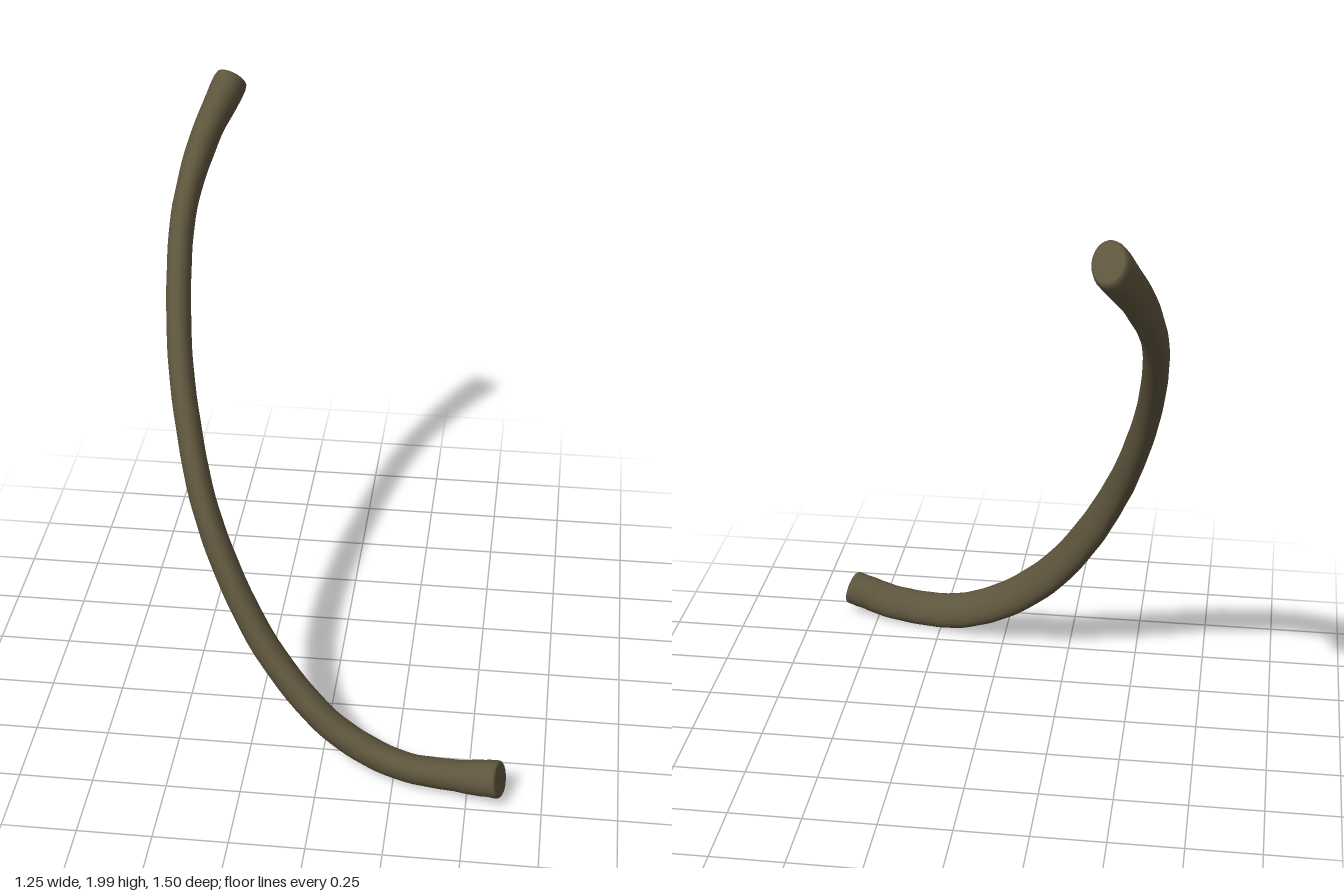
import * as THREE from 'three';

// Centre line with the section's half sizes: x, y, z, thickness, breadth
const STATIONS = [
  [0.61, 0.103, 0.70, 0.063, 0.064],
  [0.55, 0.09, 0.685, 0.060, 0.064],
  [0.45, 0.072, 0.66, 0.052, 0.065],
  [0.30, 0.065, 0.63, 0.049, 0.066],
  [0.15, 0.095, 0.587, 0.050, 0.069],
  [0.0, 0.175, 0.535, 0.049, 0.072],
  [-0.19, 0.355, 0.435, 0.048, 0.074],
  [-0.345, 0.60, 0.322, 0.046, 0.074],
  [-0.435, 0.80, 0.225, 0.044, 0.071],
  [-0.50, 1.0, 0.10, 0.043, 0.066],
  [-0.55, 1.22, -0.05, 0.042, 0.061],
  [-0.578, 1.45, -0.24, 0.042, 0.060],
  [-0.575, 1.62, -0.385, 0.043, 0.064],
  [-0.53, 1.79, -0.54, 0.050, 0.073],
  [-0.455, 1.95, -0.69, 0.060, 0.082],
];
const RINGS = 90, SIDES = 28;

function buildRib() {
  const curve = new THREE.CatmullRomCurve3(STATIONS.map(s => new THREE.Vector3(s[0], s[1], s[2])), false, 'centripetal');
  const planeNormal = new THREE.Vector3(0.10, 0.63, 0.77).normalize();
  const last = STATIONS.length - 1;

  // Each ring: curve parameter, section scale; the ends close with rounded rims
  const rings = [[0, 0.001], [0, 0.45], [0, 0.8], [0.001, 0.91], [0.006, 0.98]];
  for (let i = 1; i < RINGS; i++) rings.push([0.006 + 0.988 * i / RINGS, 1]);
  rings.push([0.994, 0.98], [0.999, 0.91], [1, 0.8], [1, 0.45], [1, 0.001]);

  const positions = [], indices = [];
  rings.forEach(([t, scale], i) => {
    const centre = curve.getPoint(t), tangent = curve.getTangent(t);
    const thick = new THREE.Vector3().crossVectors(planeNormal, tangent).normalize();
    const broad = new THREE.Vector3().crossVectors(tangent, thick);
    const k = Math.min(Math.floor(t * last), last - 1);
    const f = THREE.MathUtils.smoothstep(t * last - k, 0, 1);
    const half = c => THREE.MathUtils.lerp(STATIONS[k][c], STATIONS[k + 1][c], f) * scale;
    for (let j = 0; j < SIDES; j++) {
      const a = j / SIDES * Math.PI * 2;
      // Faint unevenness of the bone surface
      const bump = 1 + 0.018 * Math.sin(t * 95 + 2 * a) * Math.sin(t * 41 + a);
      const p = centre.clone()
        .addScaledVector(thick, Math.cos(a) * half(3) * bump)
        .addScaledVector(broad, Math.sin(a) * half(4) * bump);
      positions.push(p.x, p.y, p.z);
      if (i < rings.length - 1) {
        const n = (j + 1) % SIDES, r = i * SIDES, s = r + SIDES;
        indices.push(r + j, r + n, s + j, r + n, s + n, s + j);
      }
    }
  });
  const geometry = new THREE.BufferGeometry();
  geometry.setAttribute('position', new THREE.Float32BufferAttribute(positions, 3));
  geometry.setIndex(indices);
  geometry.computeVertexNormals();
  return geometry;
}

export function createModel() {
  const group = new THREE.Group();
  group.name = 'ribBone';
  const rib = new THREE.Mesh(buildRib(), new THREE.MeshStandardMaterial({ color: 0x5e553d }));
  rib.name = 'rib';
  group.add(rib);
  return group;
}
